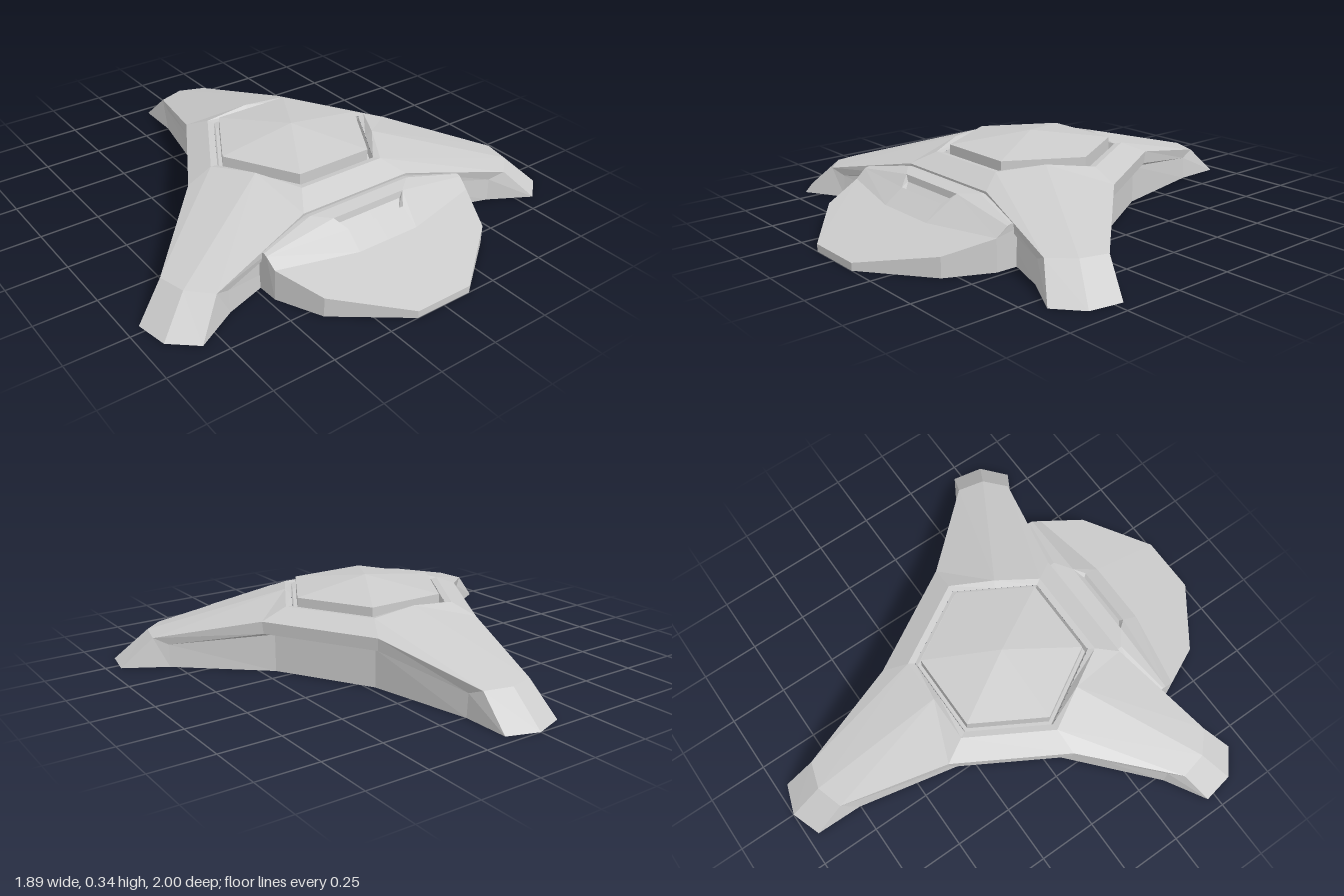
import * as THREE from 'three';

const CZ = 0.065; // z of the three-fold axis

// Collects polygons (fans) into one flat-shaded mesh
function polyMesh(name, faces) {
  const pos = [];
  for (const f of faces) {
    for (let i = 1; i < f.length - 1; i++) pos.push(...f[0], ...f[i], ...f[i + 1]);
  }
  const g = new THREE.BufferGeometry();
  g.setAttribute('position', new THREE.Float32BufferAttribute(pos, 3));
  g.computeVertexNormals();
  const m = new THREE.Mesh(g, grey());
  m.name = name;
  return m;
}

const grey = () => new THREE.MeshStandardMaterial({ color: 0xcccccc, flatShading: true });

// Leg stations as [distance along leg, sideways, height]
const LEG = {
  Mi: [0.312, 0, 0.262], M: [0.338, 0, 0.285],            // rim ridge
  Ci: [0.312, 0.18, 0.262], C: [0.338, 0.195, 0.266],     // rim corner
  E: [0.435, 0.245, 0.22], Eb: [0.43, 0.243, 0.168],      // shell edge band
  Er: [0.385, 0.222, 0.157], E0: [0.385, 0.222, 0],       // recessed wall
  K: [0.92, 0, 0.125], F: [0.885, 0.113, 0.122],          // ankle
  Fb: [0.82, 0.124, 0.095], G2: [0.82, 0.13, 0],
  G: [1.02, 0.127, 0], T: [1.065, 0, 0],                  // foot
  O: [0, 0, 0],
};

// Places the stations for one side of the leg at angle a
function legPoints(a, s) {
  const out = {};
  for (const [k, [r, w, y]] of Object.entries(LEG)) {
    out[k] = [
      s * w * Math.cos(a) + r * Math.sin(a),
      y,
      -s * w * Math.sin(a) + r * Math.cos(a) + CZ,
    ];
  }
  return out;
}

function createShell() {
  const faces = [];
  for (let i = 0; i < 3; i++) {
    const a = Math.PI + (i * 2 * Math.PI) / 3;
    for (const s of [1, -1]) {
      const p = legPoints(a, s);
      const half = [
        [p.Mi, p.M, p.C, p.Ci],           // rim bevel
        [p.M, p.K, p.F, p.E, p.C],        // leg top
        [p.K, p.T, p.G, p.F],             // toe
        [p.F, p.Fb, p.Eb, p.E],           // edge band
        [p.F, p.G, p.G2, p.Fb],           // foot side
        [p.Fb, p.Er, p.Eb],               // undercut
        [p.Fb, p.G2, p.E0, p.Er],         // recessed wall
        [p.O, p.E0, p.G2, p.G, p.T],      // floor
      ];
      for (const f of half) faces.push(s > 0 ? f : f.reverse());
    }
    // Panel between this leg and the next
    const p = legPoints(a, 1);
    const q = legPoints(a + (2 * Math.PI) / 3, -1);
    faces.push(
      [p.Ci, p.C, q.C, q.Ci],
      [p.C, p.E, q.E, q.C],
      [p.Eb, q.Eb, q.E, p.E],
      [p.Er, q.Er, q.Eb, p.Eb],
      [p.E0, q.E0, q.Er, p.Er],
      [p.O, q.E0, p.E0],
    );
  }
  return polyMesh('threeLeggedShell', faces);
}

// Six-sided roof with the groove around it
function createRoof() {
  const pts = [[0.36, 0.262], [0.352, 0.235], [0.335, 0.235], [0.335, 0.293], [0, 0.34]];
  const g = new THREE.LatheGeometry(pts.map(([x, y]) => new THREE.Vector2(x, y)), 6, Math.PI / 6);
  const m = new THREE.Mesh(g, grey());
  m.name = 'hexagonalRoof';
  m.position.z = CZ;
  return m;
}

// Front porch: wedge with a faceted nose and a sunken window
function createPorch() {
  const B0 = [0.24, 0.2, 0.44], B1 = [0.48, 0.16, 0.46];
  const A0 = [0.24, 0.215, 0.515], A1 = [0.48, 0.17, 0.56];
  const D0 = [0.17, 0.207, 0.568], D1 = [0.48, 0.165, 0.575];
  const W1 = [0.135, 0.17, 0.614];
  const I0 = [0.155, 0.18, 0.572], I1 = [0.125, 0.157, 0.602];
  const C0 = [0.14, 0.112, 0.69], C1 = [0.475, 0.128, 0.62];
  const P0 = [0.125, 0.03, 1], P1 = [0.39, 0.08, 0.8];
  const mid = (p) => [0, p[1], p[2]];
  const low = (p) => [p[0], 0, p[2]];
  const strip = (a, b) => [mid(a), mid(b), b, a]; // centre strip, half width

  const half = [
    strip(B0, A0), strip(A0, D0), strip(D0, I0), strip(I0, I1),
    strip(I1, W1), strip(W1, C0), strip(C0, P0), strip(P0, low(P0)),
    [B0, A0, A1, B1],
    [A0, D0, D1, A1],
    [D0, I0, I1, W1],                       // window side
    [D0, W1, C0, C1, D1],                   // upper slope
    [C0, P0, P1, C1],                       // lower slope
    [P0, low(P0), low(P1), P1],
    [P1, low(P1), low(C1), C1],
    [C1, low(C1), low(B1), B1, A1, D1],     // side wall
    [[0, 0, 0.46], low(B1), low(C1), low(P1), low(P0), [0, 0, 1]], // floor
  ];
  const faces = [];
  for (const f of half) {
    faces.push(f, f.map(([x, y, z]) => [-x, y, z]).reverse());
  }
  return polyMesh('frontPorch', faces);
}

export function createModel() {
  const model = new THREE.Group();
  model.name = 'threeLeggedBuilding';
  model.add(createShell(), createRoof(), createPorch());
  return model;
}
